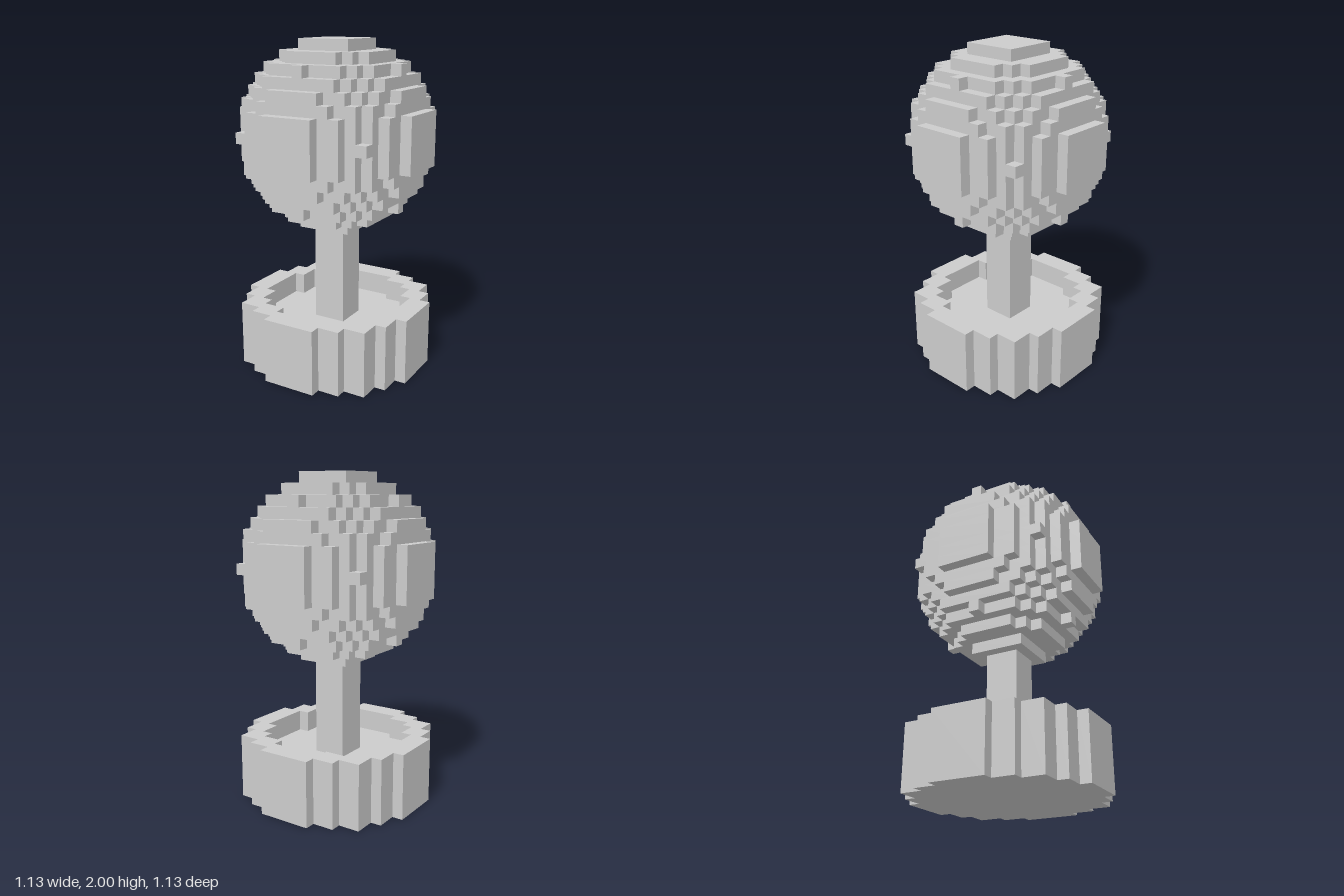
import * as THREE from 'three';
import { mergeGeometries } from 'three/addons/utils/BufferGeometryUtils.js';

const V = 1 / 15; // edge length of one block

// Stepped outline of all grid cells whose centres lie within sqrt(r2) blocks
function discPoints(r2) {
  const n = Math.floor(Math.sqrt(r2));
  const half = (i) => Math.floor(Math.sqrt(r2 - i * i)) + 0.5;
  const right = [];
  for (let i = -n; i <= n; i++) {
    if (i === -n || half(i) !== half(i - 1)) right.push([half(i), i - 0.5]);
    if (i === n || half(i) !== half(i + 1)) right.push([half(i), i + 0.5]);
  }
  const left = right.map(([x, y]) => [-x, y]).reverse();
  return [...right, ...left].map(([x, y]) => new THREE.Vector2(x * V, y * V));
}

// Upright slab with a stepped round outline, from height y0 to y1 in blocks
function disc(r2, y0, y1, holeR2) {
  const shape = new THREE.Shape(discPoints(r2));
  if (holeR2) shape.holes.push(new THREE.Path(discPoints(holeR2)));
  const geo = new THREE.ExtrudeGeometry(shape, { depth: (y1 - y0) * V, bevelEnabled: false });
  return geo.rotateX(-Math.PI / 2).translate(0, y0 * V, 0);
}

export function createModel() {
  const group = new THREE.Group();
  const material = new THREE.MeshStandardMaterial({ color: 0xcccccc, flatShading: true });
  const add = (name, geo) => {
    const mesh = new THREE.Mesh(geo, material);
    mesh.name = name;
    group.add(mesh);
  };

  const outer = 8.5 ** 2, inner = 6.5 ** 2;

  // Round planter: wall with sunken soil inside
  add('pot', disc(outer, 0, 6, inner));
  add('soil', disc(inner, 0, 4));

  // Square trunk from the soil to the crown
  add('trunk', new THREE.BoxGeometry(3 * V, 9 * V, 3 * V).translate(0, 8.5 * V, 0));

  // Block sphere stacked from one-block layers
  const layers = [];
  for (let j = -8; j <= 8; j++) layers.push(disc(outer - j * j, 21 + j, 22 + j));
  add('crown', mergeGeometries(layers));

  return group;
}
